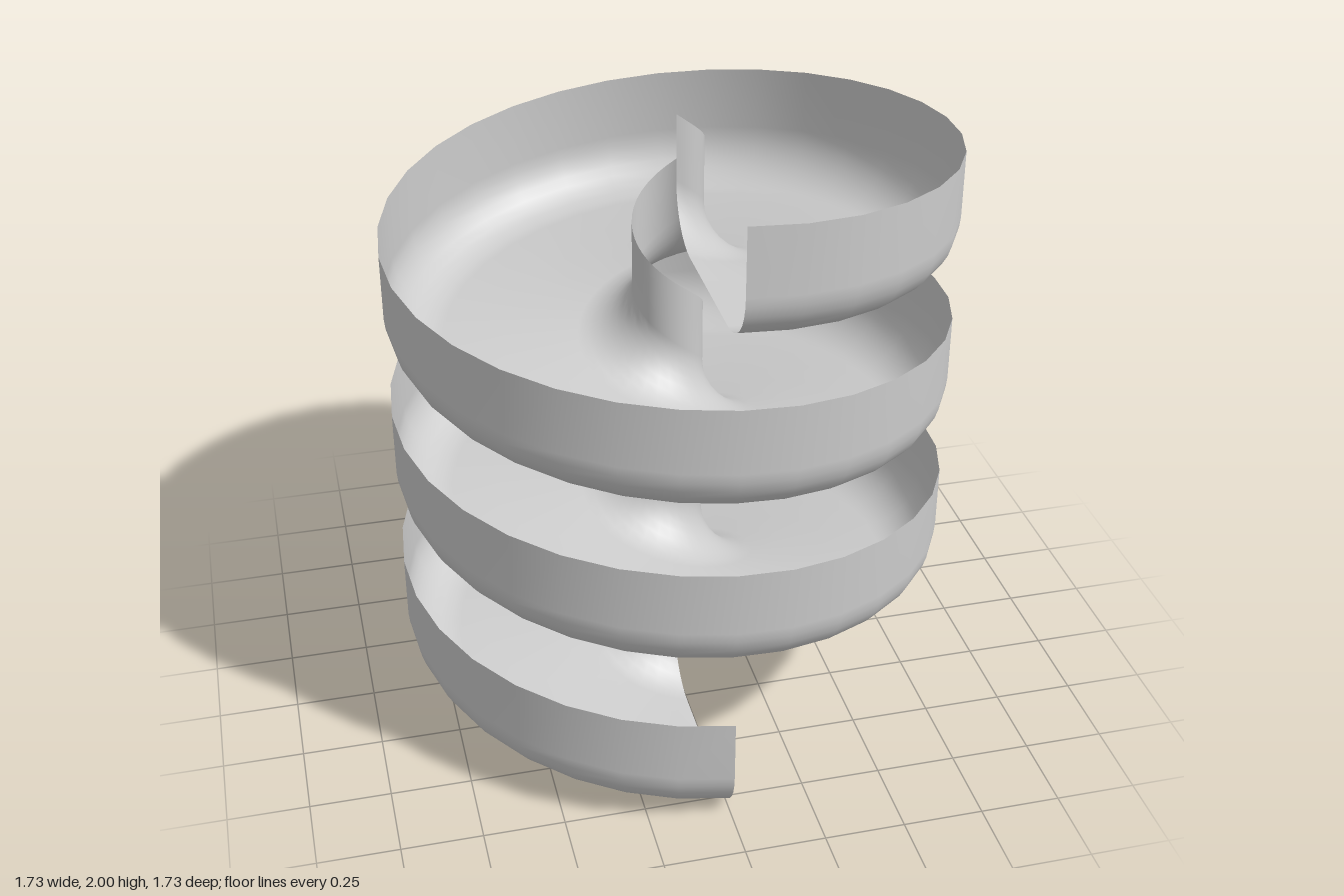
import * as THREE from 'three';

const INNER = 0.108, OUTER = 0.865, WALL = 0.375, FILLET = 0.17;
const TURNS = 3, SIDES = 32, PITCH = (2 - WALL) / TURNS;

// U-shaped trough section as (radius, height), from inner rim to outer rim
function troughSection(arcSteps = 8) {
  const points = [new THREE.Vector2(INNER, WALL)];
  for (const [centre, start] of [[INNER + FILLET, Math.PI], [OUTER - FILLET, 1.5 * Math.PI]]) {
    for (let i = 0; i <= arcSteps; i++) {
      const a = start + (i / arcSteps) * Math.PI / 2;
      points.push(new THREE.Vector2(centre + FILLET * Math.cos(a), FILLET + FILLET * Math.sin(a)));
    }
  }
  points.push(new THREE.Vector2(OUTER, WALL));
  return points;
}

// Sweep a section up a helix that starts at the front and heads towards -x
function helicalSweep(section) {
  const positions = [], indices = [], n = section.length, steps = TURNS * SIDES;
  for (let i = 0; i <= steps; i++) {
    const t = (i / SIDES) * Math.PI * 2;
    const rise = (i / SIDES) * PITCH;
    for (const p of section) positions.push(-p.x * Math.sin(t), p.y + rise, p.x * Math.cos(t));
  }
  for (let i = 0; i < steps; i++) {
    for (let j = 0; j < n - 1; j++) {
      const a = i * n + j, b = a + n;
      indices.push(a, b, a + 1, b, b + 1, a + 1);
    }
  }
  const geometry = new THREE.BufferGeometry();
  geometry.setAttribute('position', new THREE.Float32BufferAttribute(positions, 3));
  geometry.setIndex(indices);
  geometry.computeVertexNormals();
  return geometry;
}

export function createModel() {
  const group = new THREE.Group();
  group.name = 'spiralSlide';
  const material = new THREE.MeshStandardMaterial({ color: 0xcccccc, side: THREE.DoubleSide });
  const chute = new THREE.Mesh(helicalSweep(troughSection()), material);
  chute.name = 'spiralChute';
  group.add(chute);
  return group;
}
